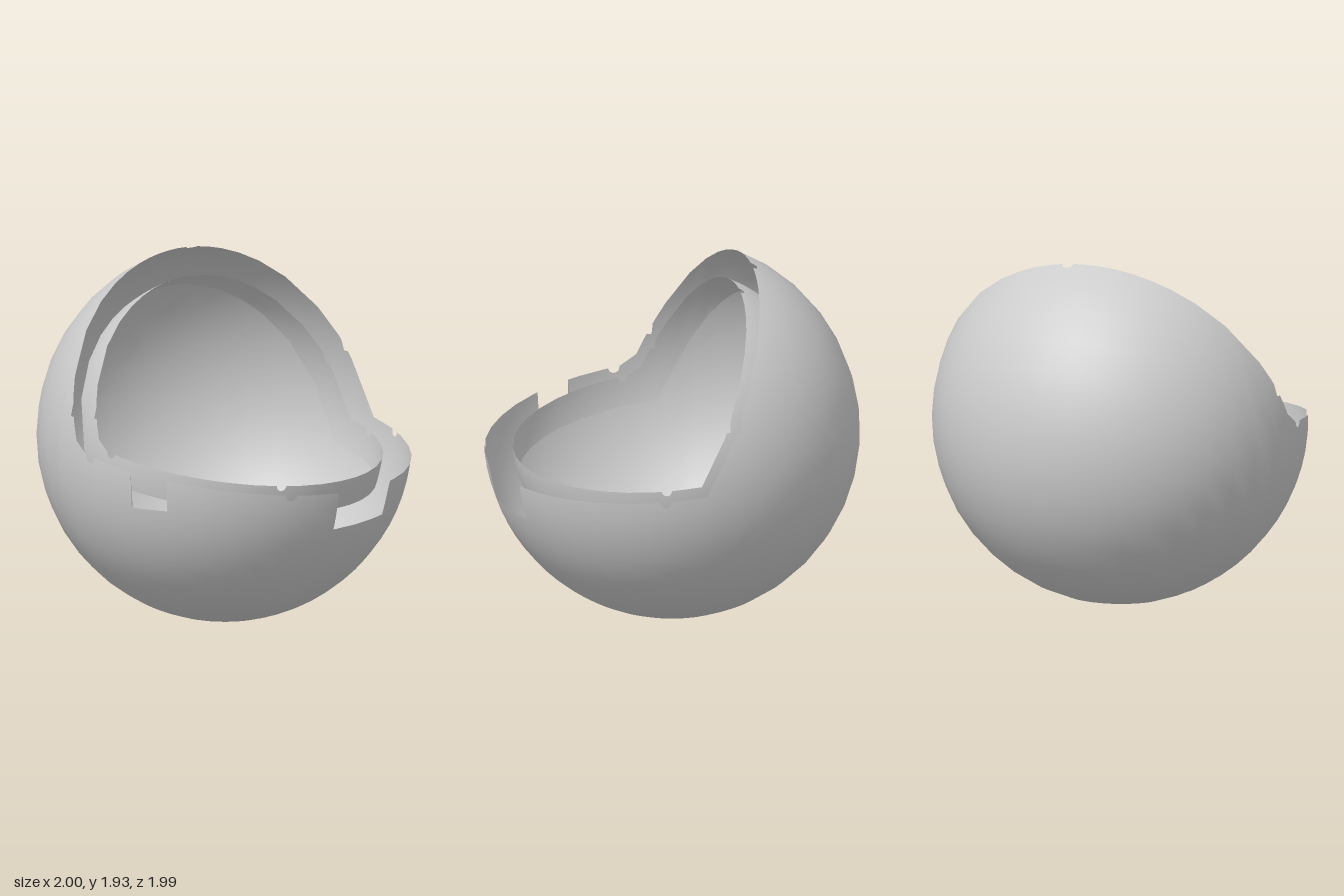
import * as THREE from 'three';

const R_SHELL = 1, R_BAND = 0.848;
const BAND_WIDTH = 0.19; // angular width of the inner band

// the mouth: two planes through the centre, given by their normals (towards the opening)
const CUTS = [[0.075, 1, 0.115], [0.056, 0.452, 1]];

// slots in the shell's rim: azimuth range and floor elevation
const SLOTS = [
  { from: 0, to: 0.43, floor: -0.33 },
  { from: -1.18, to: -0.97, floor: -0.175 },
];
// small round bites out of the rim, by azimuth
const BITES = [2.9, 1.76, 1.35, -0.29, -1.45, -1.64];
const BITE_R = 0.032;

// elevation of the mouth's edge at an azimuth, moved inwards by an angle
function edgeElevation(a, inset = 0) {
  return Math.max(...CUTS.map(([nx, ny, nz]) => {
    const h = nx * Math.sin(a) + nz * Math.cos(a);
    const len = Math.hypot(nx, ny, nz);
    return Math.asin((-Math.sin(inset) * len) / Math.hypot(h, ny)) - Math.atan2(h, ny);
  }));
}

// the mouth's edge with the round bites taken out
function rimElevation(a) {
  const e = edgeElevation(a);
  for (const b of BITES) {
    const mid = edgeElevation(b);
    const u = (a - b) * Math.cos(mid);
    if (Math.hypot(u, e - mid) < BITE_R) return mid - Math.sqrt(BITE_R ** 2 - u * u);
  }
  return e;
}

// azimuths, denser at the bites and doubled at the slot sides
function columns() {
  const list = [];
  for (let i = 0; i <= 40; i++) list.push(-Math.PI + (i / 40) * Math.PI * 2);
  for (const b of BITES) {
    const w = BITE_R / Math.cos(edgeElevation(b));
    for (let k = -8; k <= 8; k++) list.push(b + (w * k) / 8);
  }
  const corners = SLOTS.flatMap((s) => [s.from, s.to]);
  const cols = list
    .filter((a) => corners.every((c) => Math.abs(a - c) > 1e-4))
    .map((a) => ({ a, slot: SLOTS.find((s) => a > s.from && a < s.to) }));
  for (const s of SLOTS) {
    cols.push({ a: s.from }, { a: s.from + 1e-5, slot: s }, { a: s.to - 1e-5, slot: s }, { a: s.to });
  }
  return cols.sort((p, q) => p.a - q.a);
}

// a smooth spherical skin; each column runs from its top to its bottom elevation
function sphericalSkin(radius, rows, cols, top, bottom) {
  const pos = [], nor = [], index = [];
  cols.forEach((col, i) => {
    const t = top(col), b = bottom(col);
    for (let j = 0; j <= rows; j++) {
      const e = t + ((b - t) * j) / rows;
      const x = Math.cos(e) * Math.sin(col.a), y = Math.sin(e), z = Math.cos(e) * Math.cos(col.a);
      pos.push(radius * x, 1 + radius * y * (y > 0 ? 1.02 : 1), radius * z);
      nor.push(x, y, z);
      if (i && j) {
        const d = i * (rows + 1) + j, c = d - 1;
        const q = d - rows - 1, p = q - 1;
        index.push(p, q, d, p, d, c);
      }
    }
  });
  const g = new THREE.BufferGeometry();
  g.setAttribute('position', new THREE.Float32BufferAttribute(pos, 3));
  g.setAttribute('normal', new THREE.Float32BufferAttribute(nor, 3));
  g.setIndex(index);
  return g;
}

export function createModel() {
  const group = new THREE.Group();
  group.name = 'openSphericalShell';
  const material = new THREE.MeshStandardMaterial({ color: 0xcccccc, side: THREE.DoubleSide });
  const cols = columns();

  // thin outer shell, open at the mouth
  const shell = new THREE.Mesh(
    sphericalSkin(R_SHELL, 16, cols, ({ a, slot }) => (slot ? slot.floor : rimElevation(a)), () => -Math.PI / 2),
    material,
  );
  shell.name = 'outerShell';

  // narrow band inside the shell, following the mouth
  const band = new THREE.Mesh(
    sphericalSkin(R_BAND, 3, cols, ({ a }) => rimElevation(a), ({ a }) => edgeElevation(a, BAND_WIDTH)),
    material,
  );
  band.name = 'innerBand';

  group.add(shell, band);
  return group;
}
